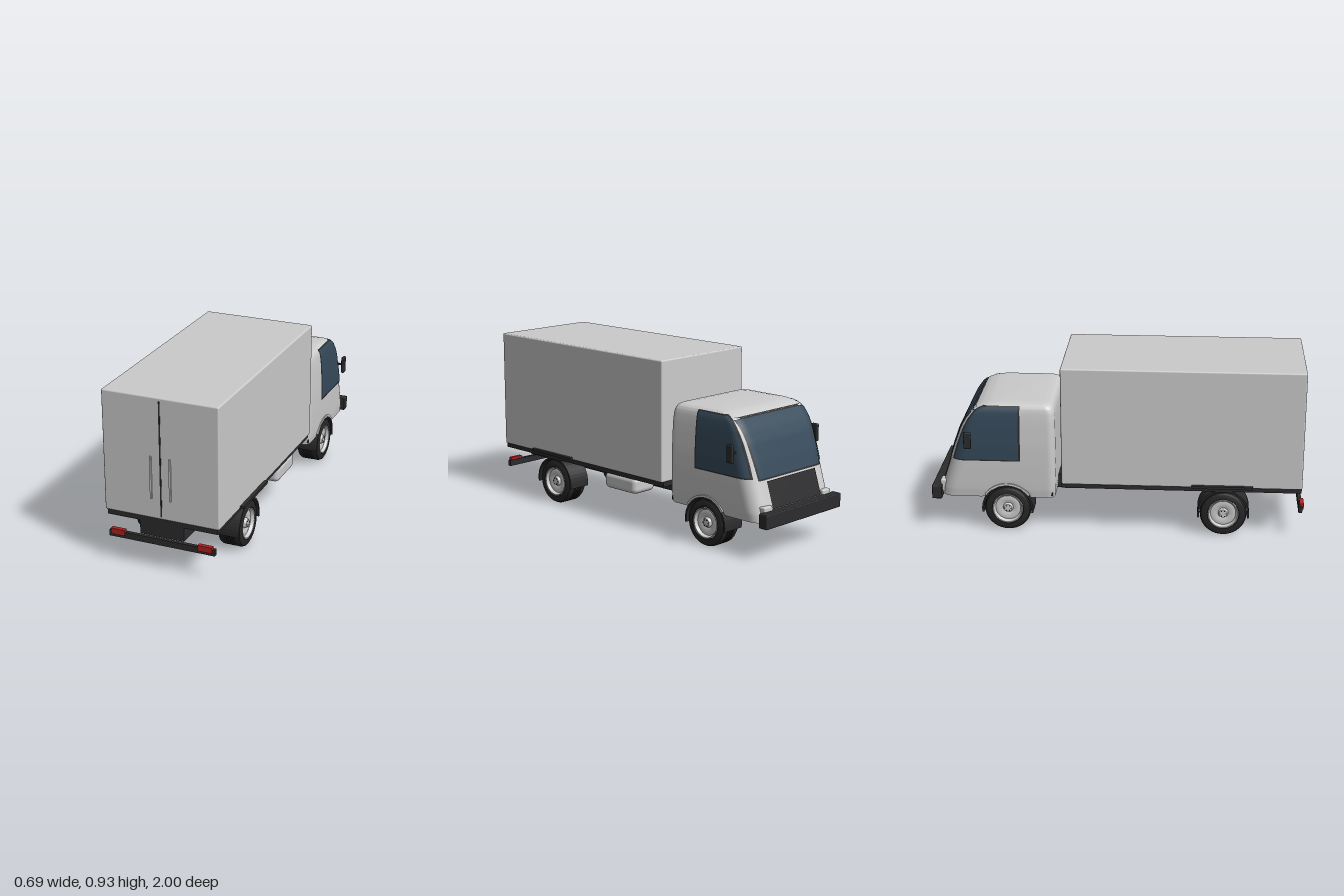
import * as THREE from 'three';
import { toCreasedNormals } from 'three/addons/utils/BufferGeometryUtils.js';
import { RoundedBoxGeometry } from 'three/addons/geometries/RoundedBoxGeometry.js';

const paint = (color, side = THREE.FrontSide) => new THREE.MeshStandardMaterial({ color, side });
const GREY = paint(0xcccccc), GREY2 = paint(0xcccccc, THREE.DoubleSide);
const DARK = paint(0x2c2c2e), DARK2 = paint(0x2c2c2e, THREE.DoubleSide);
const TYRE = paint(0x262626), RED = paint(0xb02222);
const GLASS = paint(0x35495a, THREE.DoubleSide);
const REAR_Z = 0.571, FRONT_Z = -0.59, AXLE_Y = 0.125;

// Cab cross-sections: y, front z, back z, half width, front corner radius
const CAB = [
  [0.19, -0.960, -0.335, 0.288, 0.08], [0.24, -0.948, -0.33, 0.294, 0.08],
  [0.38, -0.903, -0.33, 0.296, 0.08], [0.48, -0.872, -0.33, 0.295, 0.075],
  [0.577, -0.836, -0.33, 0.290, 0.06], [0.63, -0.808, -0.33, 0.286, 0.05],
  [0.67, -0.779, -0.333, 0.281, 0.045], [0.69, -0.757, -0.338, 0.276, 0.045],
  [0.705, -0.725, -0.347, 0.267, 0.045], [0.715, -0.685, -0.362, 0.25, 0.045],
  [0.72, -0.62, -0.40, 0.215, 0.045],
];
function section(y) {
  let i = 0;
  while (i < CAB.length - 2 && y > CAB[i + 1][0]) i++;
  const a = CAB[i], b = CAB[i + 1], t = (y - a[0]) / (b[0] - a[0]);
  const [, front, back, w, r] = a.map((v, k) => v + (b[k] - v) * t);
  return { front, back, w, r };
}
const cornerInset = (d, r) => (d > 0 ? r - Math.sqrt(Math.max(0, r * r - d * d)) : 0);
const frontZ = (x, y) => { const s = section(y); return s.front + cornerInset(Math.abs(x) - s.w + s.r, s.r); };
const sideX = (z, y) => { const s = section(y); return s.w - cornerInset(s.front + s.r - z, s.r); };

function surface(grid, closed) {
  const n = grid[0].length, pos = grid.flat(2), idx = [];
  for (let i = 0; i < grid.length - 1; i++) {
    for (let j = 0; j < (closed ? n : n - 1); j++) {
      const a = i * n + j, b = i * n + (j + 1) % n;
      idx.push(a, a + n, b, b, a + n, b + n);
    }
  }
  const g = new THREE.BufferGeometry();
  g.setAttribute('position', new THREE.Float32BufferAttribute(pos, 3));
  g.setIndex(idx);
  g.computeVertexNormals();
  return g;
}

// Closed plan outline of the cab at one height
function cabRing(y) {
  const { front, back, w, r } = section(y), rb = 0.04, pts = [];
  const corner = (cx, cz, rad, a0) => {
    for (let k = 0; k <= 8; k++) {
      const a = a0 + (k / 8) * Math.PI / 2;
      pts.push([cx + rad * Math.cos(a), cz + rad * Math.sin(a)]);
    }
  };
  const side = (x, z0, z1) => {
    for (let k = 1; k < 40; k++) pts.push([x, z0 + (z1 - z0) * k / 40]);
  };
  corner(w - rb, back - rb, rb, 0);
  corner(-w + rb, back - rb, rb, Math.PI / 2);
  side(-w, back - rb, front + r);
  corner(-w + r, front + r, r, Math.PI);
  corner(w - r, front + r, r, Math.PI * 1.5);
  side(w, front + r, back - rb);
  // lift the lower edge over the wheel
  return pts.map(([x, z]) => {
    const d = z - FRONT_Z, arch = Math.abs(x) > 0.2 && Math.abs(d) < 0.143
      ? AXLE_Y + Math.sqrt(0.143 * 0.143 - d * d) : 0;
    return [x, Math.max(y, arch), z];
  });
}
function cabGeometry() {
  const rows = [];
  for (let i = 0; i < CAB.length - 1; i++) {
    for (let k = 0; k < 3; k++) rows.push(cabRing(CAB[i][0] + (CAB[i + 1][0] - CAB[i][0]) * k / 3));
  }
  const top = cabRing(0.72);
  rows.push(top, top.map(() => [0, 0.723, -0.51]));
  return surface(rows, true);
}

// Panels that follow the cab skin
function panel(y0, y1, range, point) {
  const rows = [];
  for (let i = 0; i <= 20; i++) {
    const t = i / 20, y = y0 + (y1 - y0) * t, [a, b] = range(y, t), row = [];
    for (let j = 0; j <= 24; j++) row.push(point(a + (b - a) * j / 24, y));
    rows.push(row);
  }
  return surface(rows, false);
}
const frontPanel = (y0, y1, w0, w1, off) => panel(y0, y1,
  (y, t) => [-(w0 + (w1 - w0) * t), w0 + (w1 - w0) * t], (x, y) => [x, y, frontZ(x, y) - off]);
const sidePanel = (s, y0, y1, back, margin, off) => panel(y0, y1,
  (y) => [back, section(y).front + margin], (z, y) => [s * (sideX(z, y) + off), y, z]);

function lathe(points, material, name) {
  const g = new THREE.LatheGeometry(points.map(([r, h]) => new THREE.Vector2(r, h)), 40);
  g.rotateZ(-Math.PI / 2);
  const m = new THREE.Mesh(toCreasedNormals(g, 0.6), material);
  m.name = name;
  return m;
}
function wheel() {
  const g = new THREE.Group(), h = 0.0635;
  const tread = [];
  for (const c of [-0.02, 0, 0.02]) tread.push([0.125, c - 0.005], [0.12, c - 0.003], [0.12, c + 0.003], [0.125, c + 0.005]);
  g.add(lathe([[0.082, -h + 0.01], [0.085, -h], [0.108, -h], [0.119, -h + 0.006], [0.125, -h + 0.018], ...tread,
    [0.125, h - 0.018], [0.119, h - 0.006], [0.108, h], [0.085, h], [0.082, h - 0.01]], TYRE, 'tyre'));
  g.add(lathe([[0.082, -h + 0.004], [0.074, -h + 0.02], [0.074, h - 0.03], [0.082, h - 0.001], [0.077, h - 0.001],
    [0.068, h - 0.018], [0.05, h - 0.014], [0.028, h - 0.022], [0.022, h - 0.006], [0.0, h - 0.005]], GREY2, 'rim'));
  for (let i = 0; i < 6; i++) {
    const bolt = new THREE.Mesh(new THREE.CylinderGeometry(0.003, 0.003, 0.012, 8).rotateZ(Math.PI / 2), DARK);
    bolt.position.set(h - 0.009, 0.016 * Math.sin(i * Math.PI / 3), 0.016 * Math.cos(i * Math.PI / 3));
    bolt.name = 'wheelBolt';
    g.add(bolt);
  }
  return g;
}
function archGeometry(inner, outer, depth, drop) {
  const s = new THREE.Shape();
  s.absarc(0, 0, outer, -drop, Math.PI + drop, false);
  s.absarc(0, 0, inner, Math.PI + drop, -drop, true);
  const g = new THREE.ExtrudeGeometry(s, { depth, bevelEnabled: false, curveSegments: 12 });
  return g.translate(0, 0, -depth / 2).rotateY(Math.PI / 2);
}

export function createModel() {
  const model = new THREE.Group();
  model.name = 'boxTruck';
  const add = (name, geometry, material, x = 0, y = 0, z = 0) => {
    const m = new THREE.Mesh(geometry, material);
    m.name = name;
    m.position.set(x, y, z);
    model.add(m);
    return m;
  };
  // Box given by its limits, with an optional rounding
  const block = (name, mat, [x0, x1], [y0, y1], [z0, z1], r = 0) => {
    const d = [x1 - x0, y1 - y0, z1 - z0];
    return add(name, r ? new RoundedBoxGeometry(...d, 3, r) : new THREE.BoxGeometry(...d), mat,
      (x0 + x1) / 2, (y0 + y1) / 2, (z0 + z1) / 2);
  };

  // Cargo body and rear doors
  block('cargoBox', GREY, [-0.312, 0.312], [0.283, 0.931], [-0.295, 0.985], 0.008);
  block('cargoFloor', DARK, [-0.3, 0.3], [0.258, 0.285], [-0.295, 0.983]);
  block('doorSeam', DARK, [-0.004, 0.004], [0.297, 0.913], [0.98, 0.987]);

  // Chassis
  block('chassis', DARK, [-0.12, 0.12], [0.183, 0.26], [-0.9, 0.983]);
  block('cabFloor', DARK, [-0.168, 0.168], [0.2, 0.22], [-0.93, -0.34]);
  block('cabFloorFront', DARK, [-0.275, 0.275], [0.2, 0.22], [-0.92, -0.73]);
  block('cabFloorBack', DARK, [-0.285, 0.285], [0.2, 0.22], [-0.45, -0.345]);
  block('fuelTank', GREY, [0.14, 0.298], [0.17, 0.262], [-0.08, 0.162], 0.028);
  block('rearBumper', DARK, [-0.29, 0.29], [0.141, 0.175], [0.972, 0.992]);
  block('frontBumper', DARK, [-0.295, 0.295], [0.173, 0.248], [-1, -0.947], 0.005);

  // Cab shell, windscreen and grille
  add('cab', cabGeometry(), GREY2);
  add('windscreenFrame', frontPanel(0.392, 0.694, 0.243, 0.268, 0.003), DARK2);
  add('windscreen', frontPanel(0.402, 0.686, 0.235, 0.262, 0.007), GLASS);
  add('grille', frontPanel(0.25, 0.385, 0.19, 0.19, 0.006), DARK2);

  for (const s of [1, -1]) {
    const span = (a, b) => (s > 0 ? [a, b] : [-b, -a]);
    block('doorHandle', GREY, span(0.047, 0.057), [0.392, 0.618], [0.98, 0.992]);
    block('tailLight', RED, span(0.2, 0.277), [0.157, 0.189], [0.978, 1]);
    block('sideRail', DARK, span(0.295, 0.332), [0.284, 0.298], [0.4, 0.725]);
    block('headlight', GREY, span(0.2, 0.262), [0.2, 0.272], [-0.958, -0.91], 0.008);
    block('mirror', DARK, span(0.325, 0.343), [0.484, 0.578], [-0.81, -0.77], 0.006);
    block('mirrorArm', DARK, span(0.28, 0.33), [0.526, 0.536], [-0.795, -0.785]);
    add('sideWindowFrame', sidePanel(s, 0.402, 0.706, -0.515, 0.014, 0.003), DARK2);
    add('sideWindow', sidePanel(s, 0.41, 0.7, -0.525, 0.022, 0.006), GLASS);
    add('cabArchLip', archGeometry(0.137, 0.148, 0.03, -0.6), GREY, s * 0.285, AXLE_Y, FRONT_Z);

    for (const z of [REAR_Z, FRONT_Z]) {
      const w = wheel();
      w.name = z > 0 ? 'rearWheel' : 'frontWheel';
      w.position.set(s * 0.2335, AXLE_Y, z);
      if (s < 0) w.rotation.y = Math.PI;
      model.add(w);
      add('mudguard', archGeometry(0.129, 0.139, 0.13, 0.15), DARK, s * 0.235, AXLE_Y, z);
    }
  }

  // Axle beams
  for (const z of [REAR_Z, FRONT_Z]) {
    add('axle', new THREE.CylinderGeometry(0.016, 0.016, 0.4, 16).rotateZ(Math.PI / 2), DARK, 0, 0.198, z);
  }
  return model;
}
